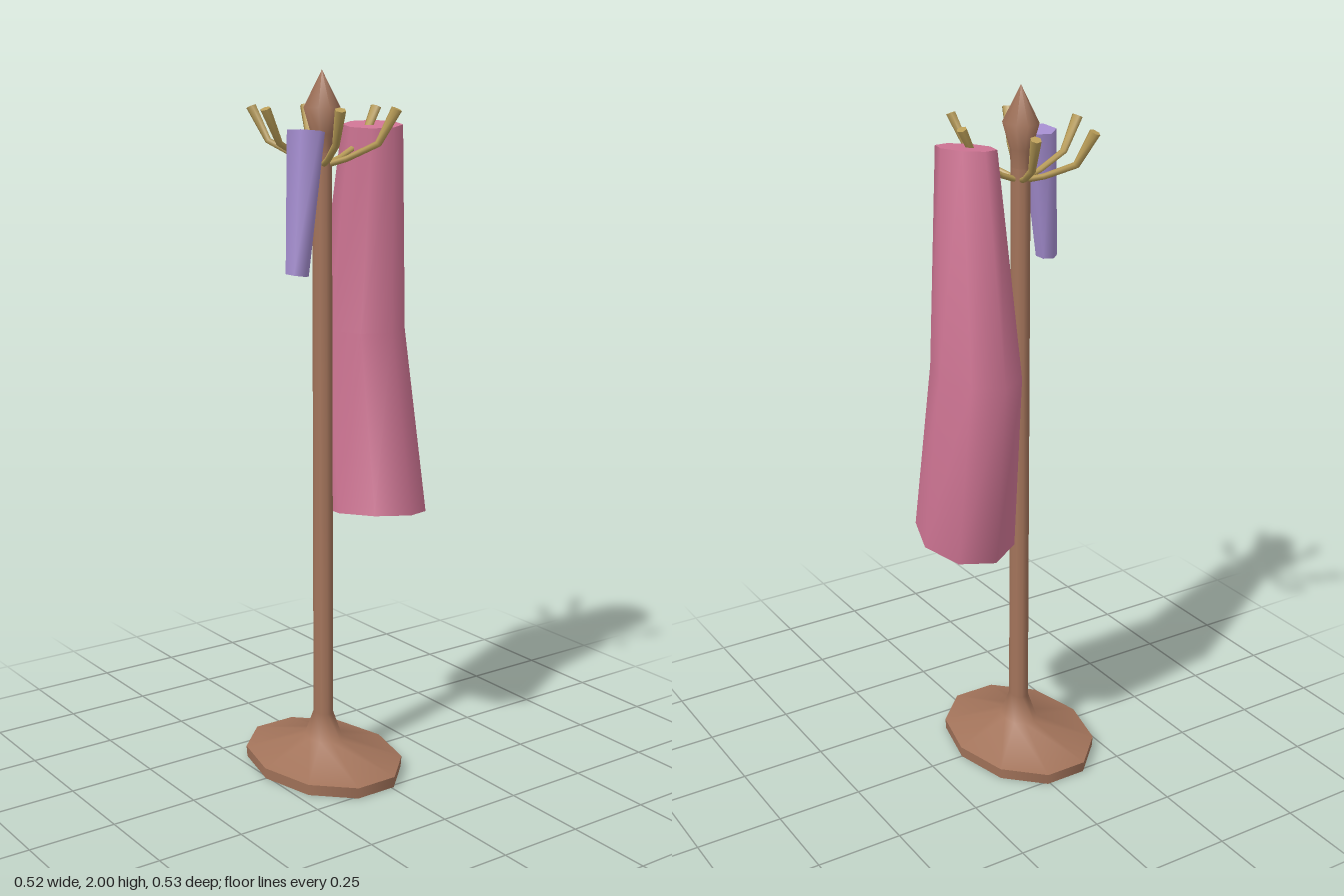
import * as THREE from 'three';

const material = (name, color) => {
  const m = new THREE.MeshStandardMaterial({ color });
  m.name = name;
  return m;
};

// Joins equal-sized rings from bottom to top: smooth sides, flat end caps.
function loft(rings) {
  const n = rings[0].length, pos = [], index = [];
  rings.forEach(r => r.forEach(p => pos.push(p.x, p.y, p.z)));
  for (let k = 0; k < rings.length - 1; k++)
    for (let i = 0; i < n; i++) {
      const j = (i + 1) % n, a = k * n + i, b = k * n + j;
      index.push(a, a + n, b, b, a + n, b + n);
    }
  const cap = (ring, top) => {
    const base = pos.length / 3;
    ring.forEach(p => pos.push(p.x, p.y, p.z));
    for (let i = 1; i < n - 1; i++)
      index.push(base, base + (top ? i + 1 : i), base + (top ? i : i + 1));
  };
  cap(rings[0], false);
  cap(rings[rings.length - 1], true);
  const g = new THREE.BufferGeometry();
  g.setAttribute('position', new THREE.Float32BufferAttribute(pos, 3));
  g.setIndex(index);
  g.computeVertexNormals();
  return g;
}

// Horizontal oval ring, tilted by slopes along x and z.
function ovalRing(sides, turn, [x, y, z, rx, rz, slopeX, slopeZ]) {
  return Array.from({ length: sides }, (_, i) => {
    const a = turn + (i / sides) * Math.PI * 2;
    const dx = rx * Math.cos(a), dz = rz * Math.sin(a);
    return new THREE.Vector3(x + dx, y + slopeX * dx + slopeZ * dz, z + dz);
  });
}

// Upswept peg in the xy plane, thickening toward its tip.
function pegGeometry() {
  const path = [[0.005, 1.745, 0.008], [0.06, 1.765, 0.008], [0.138, 1.808, 0.009], [0.182, 1.9, 0.0135]];
  return loft(path.map(([x, y, r], k) => {
    const p = path[Math.max(k - 1, 0)], q = path[Math.min(k + 1, path.length - 1)];
    const d = new THREE.Vector2(q[0] - p[0], q[1] - p[1]).normalize();
    return Array.from({ length: 6 }, (_, i) => {
      const a = (i / 6) * Math.PI * 2, c = r * Math.cos(a);
      return new THREE.Vector3(x + d.y * c, y - d.x * c, r * Math.sin(a));
    });
  }));
}

export function createModel() {
  const wood = material('wood', 0xa2735a);
  const brass = material('brass', 0xb89c57);
  const pink = material('pink cloth', 0xcf7594);
  const purple = material('purple cloth', 0xa48dcf);
  const model = new THREE.Group();
  model.name = 'coatStand';

  const add = (parent, name, geometry, mat) => {
    const mesh = new THREE.Mesh(geometry, mat);
    mesh.name = name;
    parent.add(mesh);
    return mesh;
  };

  // Stand is slightly stretched front to back
  const stand = new THREE.Group();
  stand.name = 'stand';
  stand.position.x = -0.055;
  stand.scale.z = 1.35;
  model.add(stand);

  const turned = (name, points) => add(stand, name, new THREE.LatheGeometry(
    points.map(p => new THREE.Vector2(...p)), 10, Math.PI / 2), wood);
  turned('baseUnderside', [[0, 0], [0.203, 0]]);
  turned('baseRim', [[0.203, 0], [0.205, 0.032]]);
  turned('baseAndPole', [[0.205, 0.032], [0.05, 0.085], [0.026, 0.16], [0.024, 1.78]]);
  turned('finial', [[0.024, 1.78], [0.027, 1.83], [0.045, 1.9], [0, 2]]);

  // Six pegs around the top of the pole
  const peg = pegGeometry();
  for (let i = 0; i < 6; i++) {
    const pivot = new THREE.Group();
    pivot.name = 'pegPivot';
    pivot.rotation.y = (i * Math.PI) / 3;
    add(pivot, 'peg', peg, brass);
    stand.add(pivot);
  }

  // Long coat hanging with a bend in the middle
  add(model, 'coat', loft([
    [0.131, 0.743, 0, 0.13, 0.172, -0.08, 0.13],
    [0.15, 1.268, -0.1, 0.112, 0.152, 0, 0.02],
    [0.115, 1.852, 0, 0.076, 0.098, 0.08, -0.06],
  ].map(r => ovalRing(8, 0, r))), pink);

  // Small scarf
  add(model, 'scarf', loft([
    [-0.239, 1.475, 0.148, 0.027, 0.039, -0.12, 0],
    [-0.195, 1.846, 0.127, 0.044, 0.064, -0.12, 0.04],
  ].map(r => ovalRing(6, Math.PI / 6, r))), purple);

  return model;
}
